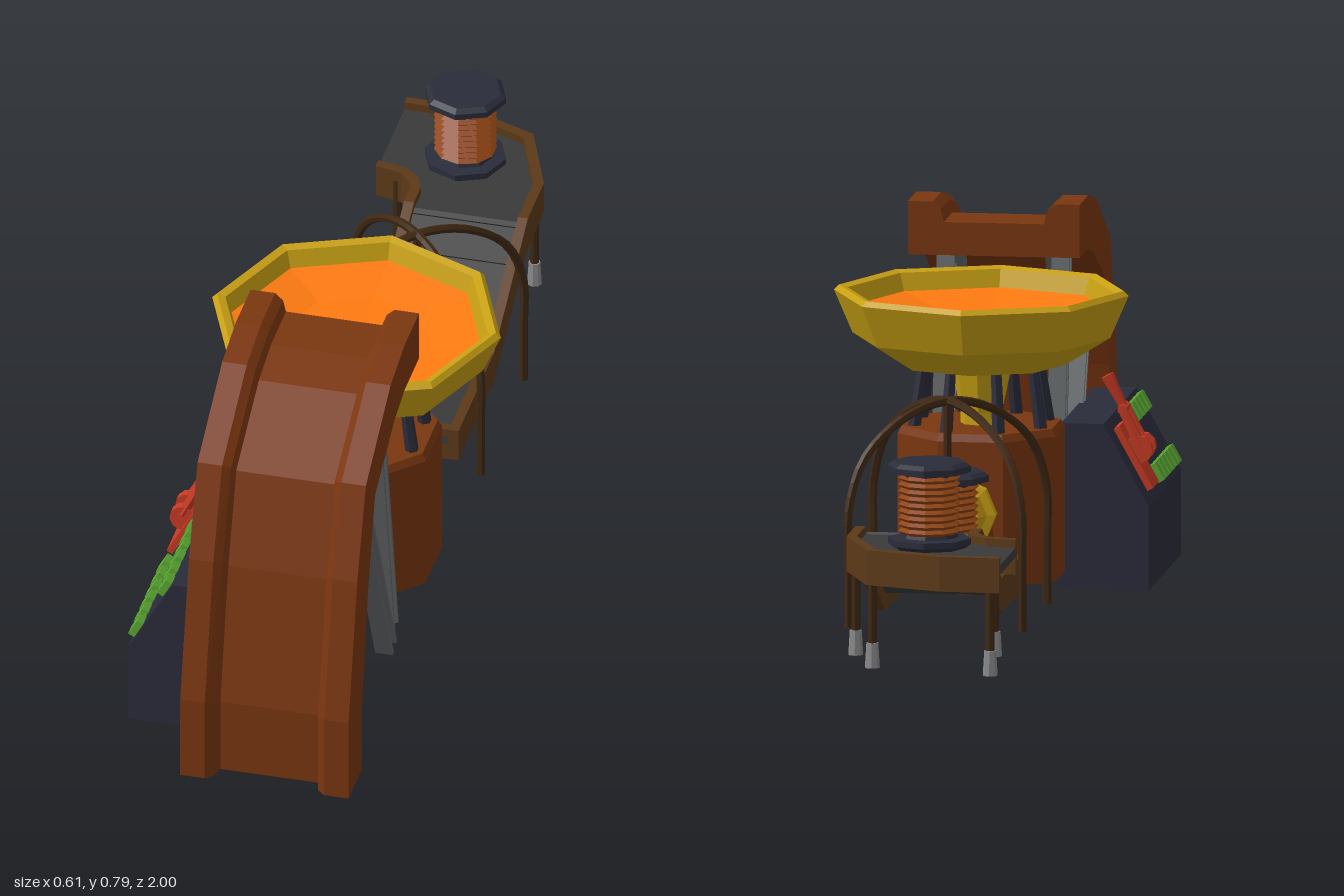
import * as THREE from 'three';

const V = (x, y, z) => new THREE.Vector3(x, y, z);
const mat = (color) => new THREE.MeshStandardMaterial({ color, flatShading: true, side: THREE.DoubleSide });
const brick = mat(0x7a3610), gold = mat(0xc8a014), lava = mat(0xff7a10), navy = mat(0x2a2c3a);
const wood = mat(0x5c3a18), belt = mat(0x3a3a3a), steel = mat(0x626668), copper = mat(0x8e4314);
const red = mat(0xc83a24), green = mat(0x5aa832), iron = mat(0x3f2814), cap = mat(0x8a8a8a);

const CX = 0.009, CZ = 0.255; // axis of the furnace

export function createModel() {
  const root = new THREE.Group();

  const add = (name, geo, material, parent = root) => {
    const m = new THREE.Mesh(geo, material);
    m.name = name;
    parent.add(m);
    return m;
  };
  const group = (name, x = 0, y = 0, z = 0) => {
    const g = new THREE.Group();
    g.name = name;
    g.position.set(x, y, z);
    root.add(g);
    return g;
  };
  const lathe = (pts, seg) => new THREE.LatheGeometry(pts.map(p => new THREE.Vector2(...p)), seg);
  const rod = (name, a, b, rTop, rBottom, seg, material, parent) => {
    const m = add(name, new THREE.CylinderGeometry(rTop, rBottom, a.distanceTo(b), seg), material, parent);
    m.position.copy(a).add(b).multiplyScalar(0.5);
    m.quaternion.setFromUnitVectors(V(0, 1, 0), b.clone().sub(a).normalize());
    return m;
  };

  // Solid through a row of stations; contour is counter-clockwise, place maps it into space
  const loft = (contour, count, place) => {
    const pos = [], n = contour.length;
    const rings = Array.from({ length: count }, (_, k) => contour.map(c => place(k, c[0], c[1])));
    const tris = [];
    for (let k = 0; k < count - 1; k++) for (let i = 0; i < n; i++) {
      const j = (i + 1) % n, A = rings[k], B = rings[k + 1];
      tris.push([A[i], A[j], B[j]], [A[i], B[j], B[i]]);
    }
    const flat = contour.map(c => new THREE.Vector2(...c));
    for (const [a, b, c] of THREE.ShapeUtils.triangulateShape(flat, [])) {
      const A = rings[0], B = rings[count - 1];
      tris.push([A[c], A[b], A[a]], [B[a], B[b], B[c]]);
    }
    // turn the faces outward
    let volume = 0;
    for (const [a, b, c] of tris) volume += a.dot(b.clone().cross(c));
    for (const [a, b, c] of tris) for (const p of volume > 0 ? [a, b, c] : [a, c, b]) pos.push(p.x, p.y, p.z);
    const g = new THREE.BufferGeometry();
    g.setAttribute('position', new THREE.Float32BufferAttribute(pos, 3));
    g.computeVertexNormals();
    return g;
  };

  // Curved feed chute: outer z, y and inner z, y of each station
  const chutePath = [
    [1, 0, 0.895, 0], [1, 0.18, 0.895, 0.13], [0.93, 0.47, 0.84, 0.4], [0.86, 0.655, 0.785, 0.585],
    [0.66, 0.765, 0.63, 0.66], [0.55, 0.787, 0.55, 0.68], [0.43, 0.787, 0.43, 0.68]];
  const chuteSection = [
    [-0.172, 0], [-0.122, 0], [-0.106, 0.14], [-0.1, 0.38], [0.1, 0.38], [0.106, 0.14],
    [0.122, 0], [0.172, 0], [0.172, 1], [-0.172, 1]];
  add('chute', loft(chuteSection, chutePath.length, (k, x, t) => {
    const [oz, oy, iz, iy] = chutePath[k];
    return V(CX + x, oy + (iy - oy) * t, oz + (iz - oz) * t);
  }), brick);

  // I-beam struts under both sides of the chute
  const iShape = new THREE.Shape([
    [-0.018, -0.018], [0.018, -0.018], [0.018, -0.01], [0.005, -0.01], [0.005, 0.01], [0.018, 0.01],
    [0.018, 0.018], [-0.018, 0.018], [-0.018, 0.01], [-0.005, 0.01], [-0.005, -0.01], [-0.018, -0.01],
  ].map(p => new THREE.Vector2(...p)));
  for (const s of [-1, 1]) for (const [z0, y0, z1, y1, x] of [
    [0.783, 0.6, 0.53, 0.05, 0.13], [0.585, 0.68, 0.457, 0.05, 0.115], [0.585, 0.68, 0.885, 0.12, 0.1]]) {
    const a = V(CX + s * x, y0, z0), b = V(CX + s * x, y1, z1);
    const beam = add('strut', new THREE.ExtrudeGeometry(iShape, { depth: a.distanceTo(b), bevelEnabled: false }), steel);
    beam.position.copy(a);
    beam.lookAt(b);
  }

  // Furnace drum, its legs and the melting bowl
  const furnace = group('furnace', CX, 0, CZ);
  add('drum', lathe([[0, 0.07], [0.171, 0.07], [0.171, 0.36], [0.163, 0.375], [0, 0.375]], 8), brick, furnace).rotation.y = Math.PI / 8;
  for (let i = 0; i < 8; i++) {
    const a = (i + 0.5) * Math.PI / 4, s = Math.sin(a), c = Math.cos(a);
    rod('bowlLeg', V(0.138 * s, 0.365, 0.138 * c), V(0.118 * s, 0.5, 0.118 * c), 0.011, 0.014, 6, navy, furnace);
  }
  add('bowl', lathe([
    [0, 0.37], [0.042, 0.37], [0.042, 0.4], [0.06, 0.485], [0.17, 0.495], [0.258, 0.55], [0.295, 0.635],
    [0.285, 0.645], [0.268, 0.64], [0.25, 0.59]], 8), gold, furnace);
  add('moltenMetal', lathe([[0, 0.58], [0.15, 0.585], [0.256, 0.605]], 8), lava, furnace);

  // Outlet elbow and nozzle behind the drum
  const bend = new THREE.CatmullRomCurve3([V(CX, 0.07, 0.045), V(CX, 0.16, 0.045), V(CX, 0.215, 0.025), V(CX, 0.23, -0.015)]);
  add('outletElbow', new THREE.TubeGeometry(bend, 8, 0.054, 8), brick);
  const base = add('elbowCap', new THREE.CircleGeometry(0.054, 8), brick);
  base.rotation.x = Math.PI / 2;
  base.position.set(CX, 0.071, 0.045);
  const nozzle = add('nozzle', lathe([
    [0, 0], [0.06, 0], [0.072, 0.01], [0.072, 0.034], [0.055, 0.038], [0.042, 0.062], [0.02, 0.062], [0, 0.05]], 8), gold);
  nozzle.rotation.x = -Math.PI / 2;
  nozzle.position.set(CX, 0.238, -0.015);
  const wire = new THREE.CatmullRomCurve3([V(CX, 0.238, -0.06), V(CX, 0.232, -0.12), V(-0.025, 0.23, -0.18), V(-0.04, 0.245, -0.22)]);
  add('wire', new THREE.TubeGeometry(wire, 12, 0.005, 6), copper);

  // Conveyor: outer x, z, inner x, z and top height of each station
  const track = [
    [0.133, -0.08, -0.12, -0.08, 0.165], [0.133, -0.365, -0.12, -0.365, 0.165], [0.133, -0.64, -0.12, -0.64, 0.308],
    [0.133, -0.77, -0.12, -0.69, 0.308], [0.07, -0.934, -0.13, -0.712, 0.308],
    [-0.085, -0.995, -0.15, -0.735, 0.308], [-0.205, -1, -0.205, -0.748, 0.308]];
  const slab = (u0, u1, y0, y1) => loft([[u0, y0], [u1, y0], [u1, y1], [u0, y1]], track.length, (k, u, y) => {
    const [ox, oz, ix, iz, top] = track[k];
    return V(ox + (ix - ox) * u, top + y, oz + (iz - oz) * u);
  });
  add('conveyorOuterWall', slab(0, 0.08, -0.07, 0), wood);
  add('conveyorInnerWall', slab(0.92, 1, -0.07, 0), wood);
  add('conveyorBelt', slab(0.08, 0.92, -0.035, -0.016), belt);
  add('conveyorEndWall', new THREE.BoxGeometry(0.253, 0.07, 0.02), wood).position.set(0.0065, 0.13, -0.09);
  for (const [y, z] of [[0.202, -0.463], [0.252, -0.56], [0.291, -0.635]]) {
    const seam = add('beltSeam', new THREE.BoxGeometry(0.21, 0.006, 0.012), belt);
    seam.position.set(0.0065, y, z);
    seam.rotation.x = 0.48;
  }
  for (const [x, z] of [[-0.185, -0.982], [0.06, -0.918], [0.115, -0.765], [-0.16, -0.745]]) {
    rod('conveyorLeg', V(x, 0.11, z), V(x, 0.285, z), 0.009, 0.009, 8, iron);
    rod('conveyorFoot', V(x, 0.07, z), V(x, 0.12, z), 0.012, 0.015, 8, cap);
  }

  // Wire spools
  for (const [x, y, z] of [[0.004, 0.187, -0.255], [-0.04, 0.298, -0.82]]) {
    const spool = group('spool', x, y, z);
    for (const end of [0, 1]) {
      const flange = add('spoolFlange', lathe([[0, 0], [0.055, 0], [0.058, 0.008], [0.083, 0.01], [0.083, 0.022], [0.072, 0.03], [0, 0.03]], 8), navy, spool);
      if (end) flange.position.y = 0.143;
      else { flange.rotation.x = Math.PI; flange.position.y = 0.03; }
    }
    const turns = [];
    for (let i = 0; i < 9; i++) turns.push([0.054, 0.028 + i * 0.0133], [0.063, 0.0347 + i * 0.0133]);
    add('spoolWinding', lathe([...turns, [0.054, 0.148]], 10), copper, spool);
  }

  // Crossed hoops holding the first spool
  const half = [[-0.246, 0.07], [-0.246, 0.2], [-0.244, 0.31], [-0.205, 0.405], [-0.11, 0.475]];
  const hoop = [...half, [0, 0.5], ...half.map(([x, y]) => [-x, y]).reverse()];
  for (const s of [-1, 1]) {
    const c = new THREE.CatmullRomCurve3(hoop.map(([d, y]) => V(0.004 + d * Math.SQRT1_2, y, -0.255 + s * d * Math.SQRT1_2)));
    add('hoop', new THREE.TubeGeometry(c, 40, 0.009, 6), iron);
  }
  rod('hanger', V(0.004, 0.35, -0.255), V(0.004, 0.507, -0.255), 0.009, 0.009, 6, iron);

  // Control console with sloped panel
  const side = new THREE.Shape([[-0.305, 0.02], [-0.13, 0.02], [-0.13, 0.353], [-0.215, 0.353], [-0.305, 0.19]].map(p => new THREE.Vector2(...p)));
  add('console', new THREE.ExtrudeGeometry(side, { depth: 0.46, bevelEnabled: false }), navy).position.z = 0.4;
  const panel = group('controlPanel', -0.26, 0.2715, 0); // local x runs up the slope, y out of it
  panel.rotation.z = Math.atan2(0.163, 0.09);
  for (const x of [-0.057, 0.065]) {
    add('buttonStrip', new THREE.BoxGeometry(0.025, 0.008, 0.25), green, panel).position.set(x, 0.001, 0.72);
    for (let i = 0; i < 6; i++)
      add('button', new THREE.BoxGeometry(0.038, 0.02, 0.028), green, panel).position.set(x, 0.004, 0.61 + i * 0.044);
  }
  add('leverPlate', new THREE.BoxGeometry(0.14, 0.018, 0.085), red, panel).position.set(0, 0.004, 0.505);
  for (const z of [0.482, 0.528]) {
    const hub = add('leverHub', new THREE.CylinderGeometry(0.028, 0.028, 0.018, 10), red, panel);
    hub.rotation.x = Math.PI / 2;
    hub.position.set(0.01, 0.022, z);
    rod('leverArm', V(0.015, 0.028, z), V(0.1, 0.031, z), 0.009, 0.012, 6, red, panel);
  }
  rod('leverBar', V(0.095, 0.031, 0.475), V(0.095, 0.031, 0.535), 0.01, 0.01, 6, red, panel);
  rod('leverHandle', V(0.09, 0.031, 0.505), V(0.168, 0.033, 0.505), 0.014, 0.008, 8, red, panel);

  return root;
}
